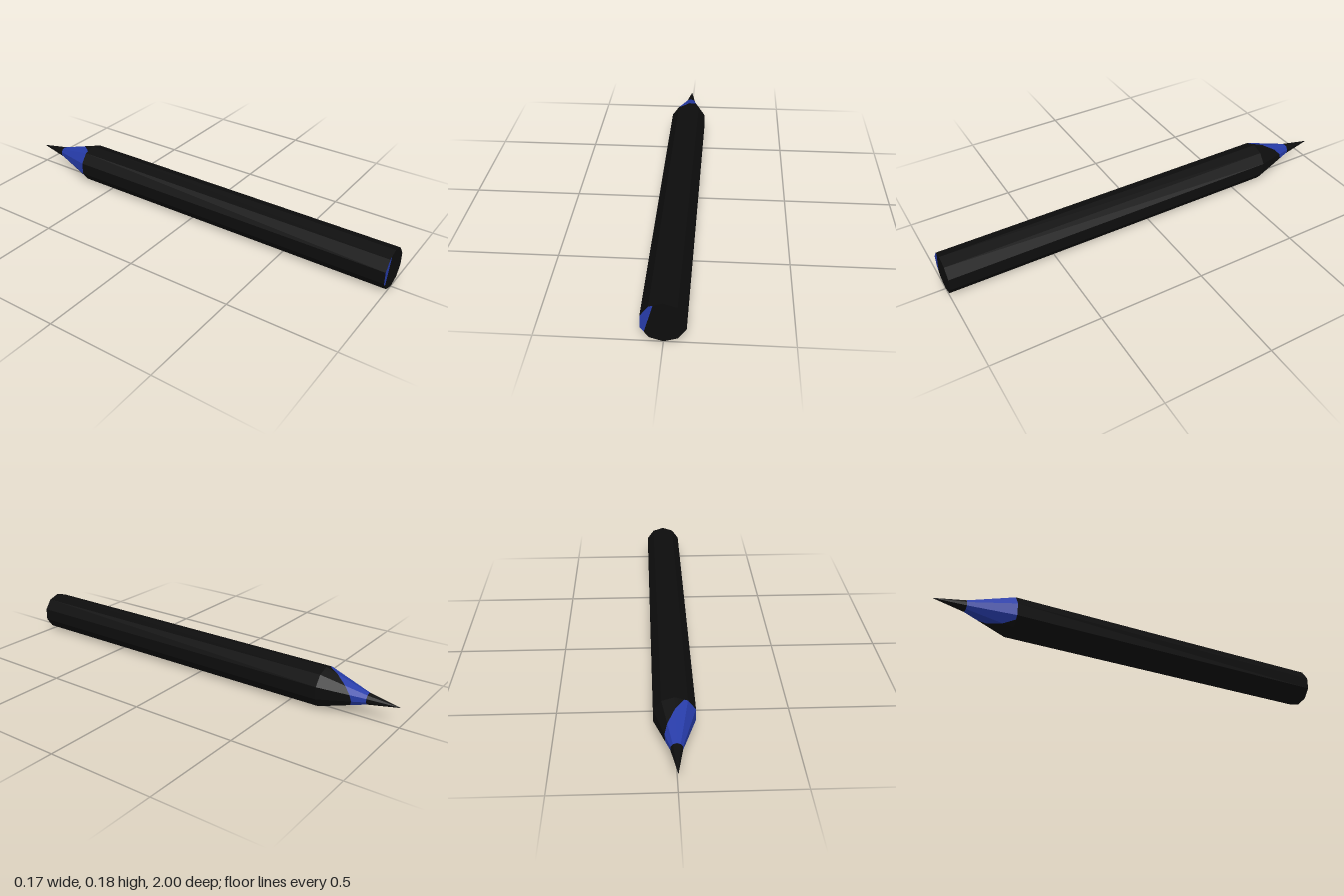
import * as THREE from 'three';

const R = 0.092;          // barrel radius, also the axis height
const SIDES = 10;
const FRONT = 1, SHOULDER = -0.65, NECK = -0.855, TIP = -1;
const NECK_R = 0.026;

const black = new THREE.MeshStandardMaterial({ color: 0x0d0d0d, flatShading: true });
black.name = 'black';
const blue = new THREE.MeshStandardMaterial({ color: 0x263ba8, flatShading: true });
blue.name = 'blue';

// Point on the unit decagon; k counts corners, fractions lie along an edge
function outline(k) {
  const corner = (i) => {
    const a = Math.PI / 2 + (i * Math.PI * 2) / SIDES;
    return new THREE.Vector2(Math.cos(a), Math.sin(a));
  };
  const i = Math.floor(k);
  return corner(i).lerp(corner(i + 1), k - i);
}

// Band of the sharpened taper between two depth rules (depth 0 = shoulder)
function taperBand(from, to) {
  const slope = (R - NECK_R) / (SHOULDER - NECK);
  const steps = SIDES * 8;
  const point = (j, rule) => {
    const p = outline(j / 8);
    const s = rule(p);
    const r = R - slope * s;
    return [p.x * r, p.y * r, SHOULDER - s];
  };
  const positions = [];
  for (let j = 0; j < steps; j++) {
    const a = point(j, from), b = point(j + 1, from);
    const c = point(j, to), d = point(j + 1, to);
    positions.push(...a, ...c, ...b, ...b, ...c, ...d);
  }
  const geometry = new THREE.BufferGeometry();
  geometry.setAttribute('position', new THREE.Float32BufferAttribute(positions, 3));
  geometry.computeVertexNormals();
  return geometry;
}

// Slanted line where the black coat gives way to the blue taper
function coatEdge(p) {
  const h = -p.x + 0.3 * p.y;
  return THREE.MathUtils.clamp((0.062 - R * h) / (0.75 - 0.322 * h), 0, SHOULDER - NECK);
}

// Flat piece of the end cap from outline position k0 round to k1
function capPiece(k0, k1) {
  const points = [outline(k0)];
  for (let k = Math.ceil(k0); k <= Math.floor(k1); k++) points.push(outline(k));
  points.push(outline(k1));
  const shape = new THREE.Shape(points.map((p) => p.multiplyScalar(R)));
  return new THREE.ShapeGeometry(shape).translate(0, 0, FRONT);
}

export function createModel() {
  const group = new THREE.Group();
  group.name = 'pencil';
  const add = (name, geometry, material) => {
    const mesh = new THREE.Mesh(geometry, material);
    mesh.name = name;
    mesh.position.y = R;
    group.add(mesh);
  };

  // Ten-sided barrel
  const length = FRONT - SHOULDER;
  add('barrel', new THREE.CylinderGeometry(R, R, length, SIDES, 1, true)
    .rotateX(Math.PI / 2).translate(0, 0, (FRONT + SHOULDER) / 2), black);

  // End cap, divided by a slanted chord
  add('endCapBlue', capPiece(0.69, 3.43), blue);
  add('endCapBlack', capPiece(3.43, 10.69), black);

  // Sharpened taper: uneven black coat, then blue
  add('taperCoat', taperBand(() => 0, coatEdge), black);
  add('taperBlue', taperBand(coatEdge, () => SHOULDER - NECK), blue);

  // Long lead point
  add('leadPoint', new THREE.ConeGeometry(NECK_R, NECK - TIP, SIDES, 1, true)
    .rotateX(-Math.PI / 2).translate(0, 0, (NECK + TIP) / 2), black);

  return group;
}
